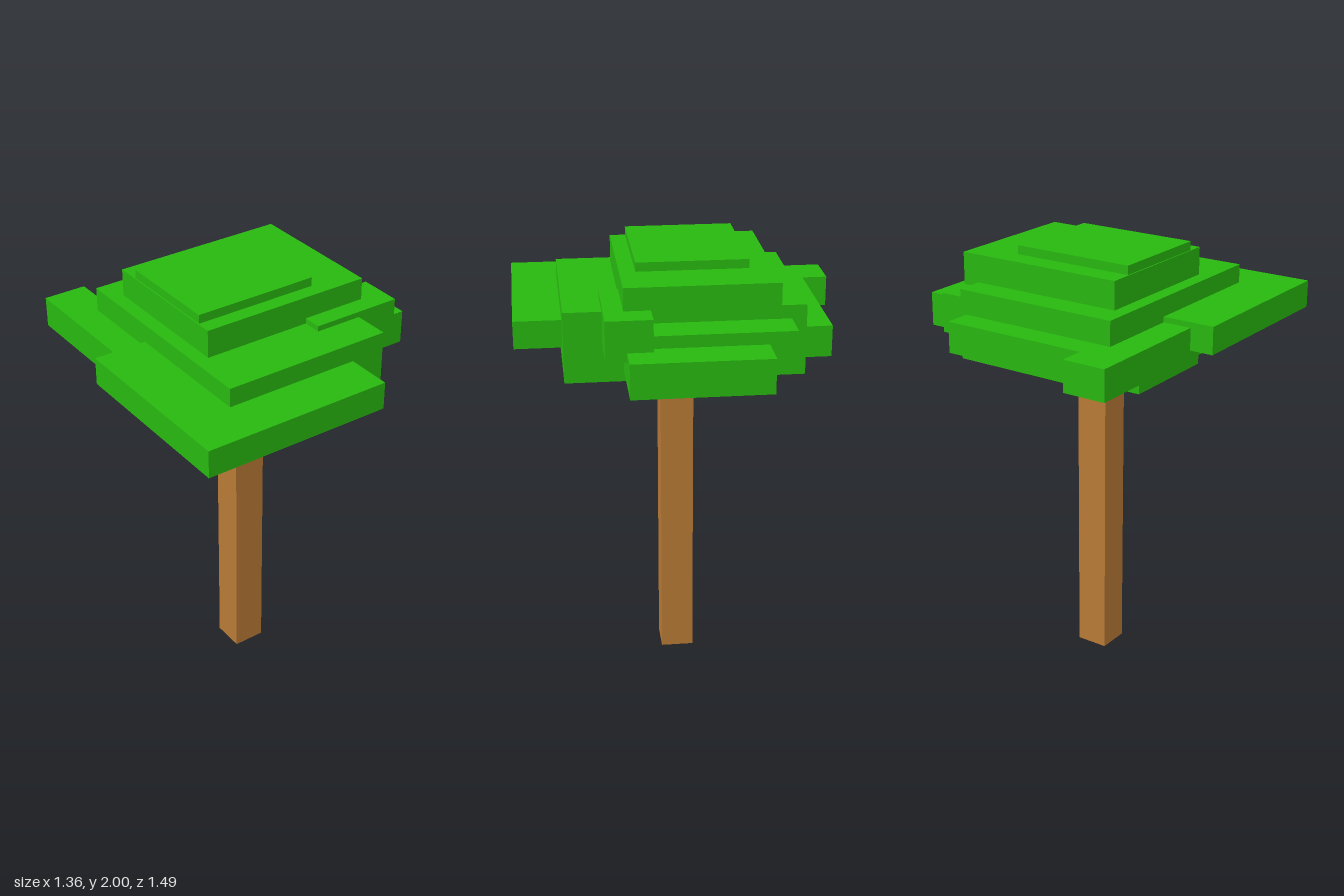
import * as THREE from 'three';

const bark = new THREE.MeshStandardMaterial({ color: 0xb87a35 });
const leaf = new THREE.MeshStandardMaterial({ color: 0x28b810 });

// Box given by its extents along each axis
function block(name, material, [x0, x1], [y0, y1], [z0, z1]) {
  const mesh = new THREE.Mesh(new THREE.BoxGeometry(x1 - x0, y1 - y0, z1 - z0), material);
  mesh.position.set((x0 + x1) / 2, (y0 + y1) / 2, (z0 + z1) / 2);
  mesh.name = name;
  return mesh;
}

export function createModel() {
  const tree = new THREE.Group();
  tree.name = 'tree';
  tree.add(block('trunk', bark, [-0.1, 0.05], [0, 1.45], [-0.06, 0.09]));

  const crown = new THREE.Group();
  crown.name = 'crown';
  const blocks = [
    // Central stack, bottom to top
    ['crownBase', [-0.4, 0.175], [1.43, 1.56], [-0.24, 0.245]],
    ['crownCore', [-0.435, 0.35], [1.52, 1.835], [-0.51, 0.53]],
    ['crownUpper', [-0.37, 0.43], [1.815, 1.96], [-0.385, 0.28]],
    ['crownTop', [-0.365, 0.21], [1.93, 2], [-0.28, 0.21]],
    // Slabs jutting out of the sides
    ['frontSlab', [-0.68, 0.19], [1.625, 1.75], [-0.11, 0.74]],
    ['backSlab', [-0.4, 0.32], [1.585, 1.725], [-0.63, -0.4]],
    ['rightSideSlab', [-0.57, -0.37], [1.585, 1.725], [-0.745, 0.54]],
    ['leftInnerSlab', [0.3, 0.51], [1.595, 1.775], [-0.445, 0.22]],
    ['leftOuterSlab', [0.3, 0.68], [1.565, 1.72], [-0.325, 0.275]],
    ['leftFrontBlock', [0.13, 0.55], [1.68, 1.86], [0.165, 0.365]],
  ];
  for (const [name, x, y, z] of blocks) crown.add(block(name, leaf, x, y, z));
  tree.add(crown);
  return tree;
}
